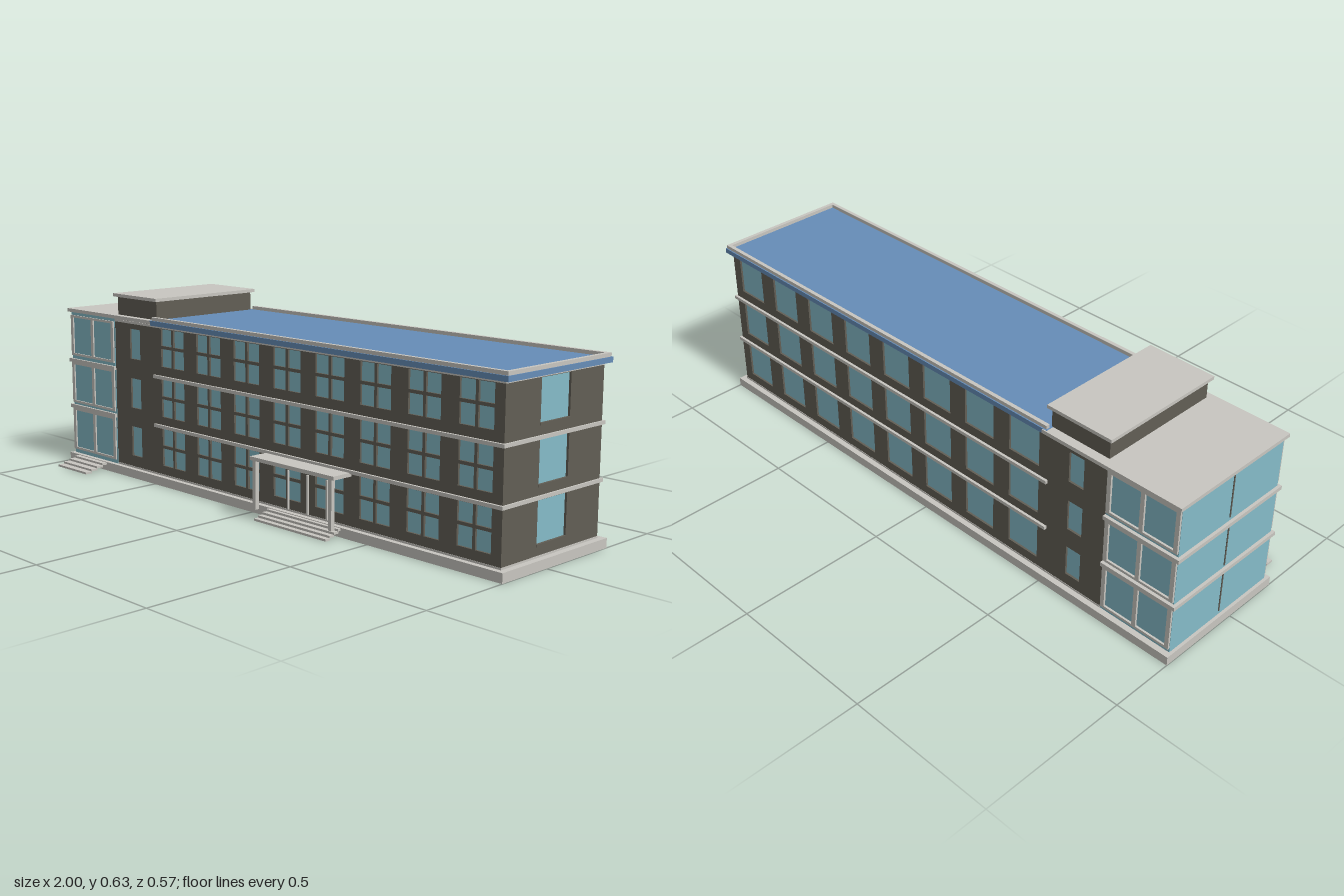
import * as THREE from 'three';

const material = (name, color) => {
  const m = new THREE.MeshStandardMaterial({ color });
  m.name = name;
  return m;
};

export function createModel() {
  const wall = material('dark wall', 0x625e55);
  const trim = material('pale trim', 0xc8c6c0);
  const glass = material('window glass', 0x85bbc8);
  const blue = material('blue roof', 0x668db8);

  const model = new THREE.Group();
  model.name = 'officeBuilding';

  // Box given by its limits on each axis
  function box(name, mat, x0, x1, y0, y1, z0, z1) {
    const mesh = new THREE.Mesh(new THREE.BoxGeometry(x1 - x0, y1 - y0, z1 - z0), mat);
    mesh.position.set((x0 + x1) / 2, (y0 + y1) / 2, (z0 + z1) / 2);
    mesh.name = name;
    model.add(mesh);
    return mesh;
  }

  // Wall panel in the XY plane with rectangular openings [x0, x1, y0, y1]
  const T = 0.012;
  function wallPanel(name, x0, x1, openings) {
    const rect = (path, a, b, c, d) =>
      path.moveTo(a, c).lineTo(b, c).lineTo(b, d).lineTo(a, d).closePath();
    const shape = rect(new THREE.Shape(), x0, x1, 0.03, 0.55);
    for (const o of openings) shape.holes.push(rect(new THREE.Path(), ...o));
    const geo = new THREE.ExtrudeGeometry(shape, { depth: T, bevelEnabled: false });
    const mesh = new THREE.Mesh(geo, wall);
    mesh.name = name;
    model.add(mesh);
    return mesh;
  }

  const ZF = 0.177, ZB = -0.268, XR = 0.98, XW = -0.73;
  const floors = [0.066, 0.236, 0.408]; // window sill heights

  // Base plinth
  box('plinth', trim, -1, 1, 0, 0.03, -0.288, 0.195);
  box('plinthTrim', trim, XW, XR + 0.001, 0.03, 0.036, ZB - 0.001, ZF + 0.001);

  // Window openings: divided into four on the front, single on the back
  const front = [], back = [], side = [];
  for (const y of floors) {
    const top = y + 0.128, mid = y + 0.066;
    for (let i = 0; i < 8; i++) {
      const c = -0.414 + i * 0.1855;
      for (const [a, b] of [[c - 0.06, c - 0.005], [c + 0.005, c + 0.06]]) {
        front.push([a, b, y, mid - 0.005], [a, b, mid + 0.005, top]);
      }
      back.push([c - 0.06, c + 0.06, y, top]);
    }
    const slit = [-0.646, -0.59, y + 0.008, y + 0.112];
    front.push(slit);
    back.push(slit);
    side.push([-0.022, 0.112, y, top]);
  }
  wallPanel('frontWall', XW, XR, front).position.z = ZF - T;
  wallPanel('backWall', XW, XR, back).position.z = ZB;
  const end = wallPanel('rightEndWall', -ZF + T, -ZB - T, side);
  end.rotation.y = Math.PI / 2;
  end.position.x = XR - T;
  box('windowGlass', glass, XW, XR - 0.007, 0.03, 0.545, ZB + 0.007, ZF - 0.007);

  // Window sills on the end wall
  for (const y of floors) {
    box('endSill', wall, XR - 0.006, XR + 0.002, y - 0.004, y + 0.003, -0.112, 0.022);
  }

  // Floor bands around the main block and the glazed wing
  for (const y of [0.197, 0.366]) {
    box('frontBand', trim, -0.51, XR + 0.006, y, y + 0.011, ZF, 0.185);
    box('backBand', trim, -0.51, XR + 0.006, y, y + 0.011, -0.277, ZB);
    box('endBand', trim, XR, XR + 0.006, y, y + 0.011, ZB, ZF);
    box('wingBand', trim, -1, XW, y, y + 0.013, -0.279, 0.187);
  }
  box('topBand', trim, XW, XR + 0.002, 0.538, 0.546, ZB - 0.002, ZF + 0.002);

  // Glazed wing
  box('wingGlass', glass, -0.99, XW, 0.03, 0.55, ZB, 0.179);
  const rows = [[0.044, 0.197], [0.218, 0.366], [0.391, 0.537]];
  for (const [y0, y1] of rows) {
    for (const [z0, z1] of [[0.179, 0.184], [-0.275, ZB]]) {
      for (const x of [-0.982, -0.861, -0.742]) {
        box('wingPost', trim, x - 0.007, x + 0.007, y0, y1, z0, z1);
      }
      box('wingRail', trim, -0.989, -0.735, y0, y0 + 0.008, z0, z1);
      box('wingRail', trim, -0.989, -0.735, y1 - 0.008, y1, z0, z1);
    }
    box('wingSideMullion', wall, -0.992, -0.99, y0, y1, -0.048, -0.043);
  }

  // Wing roof and main roof with its parapet
  box('wingRoof', trim, -1, -0.5, 0.549, 0.561, -0.288, 0.19);
  box('mainRoof', blue, -0.515, 0.998, 0.545, 0.5615, -0.284, 0.191);
  box('frontParapet', trim, -0.51, 0.995, 0.56, 0.573, 0.174, 0.187);
  box('backParapet', trim, -0.51, 0.995, 0.56, 0.573, -0.28, -0.267);
  box('endParapet', trim, 0.982, 0.995, 0.56, 0.573, -0.267, 0.174);

  // Rooftop stair block
  box('roofBlock', wall, -0.725, -0.51, 0.56, 0.625, -0.257, 0.166);
  box('roofBlockSlab', trim, -0.737, -0.5, 0.624, 0.635, -0.268, 0.177);

  // Entrance canopy, columns and door handles
  box('canopy', trim, 0.055, 0.42, 0.188, 0.2, ZF, 0.252);
  for (const x of [0.072, 0.403]) {
    box('canopyColumn', trim, x - 0.007, x + 0.007, 0.033, 0.188, 0.236, 0.25);
  }
  for (const x of [0.152, 0.238, 0.322]) {
    box('doorBar', trim, x - 0.003, x + 0.003, 0.036, 0.16, ZF, 0.183);
  }

  // Steps as thin treads descending outwards
  function steps(name, x0, x1, zEnd, count) {
    const depth = (zEnd - 0.19) / count;
    for (let i = 0; i < count; i++) {
      const y = 0.026 - (i * 0.021) / (count - 1);
      box(name, trim, x0, x1, y - 0.005, y + 0.002, 0.188 + i * depth, 0.19 + (i + 1) * depth);
    }
  }
  steps('entranceStep', 0.08, 0.395, 0.258, 4);
  steps('wingStep', -0.945, -0.775, 0.286, 4);

  return model;
}
